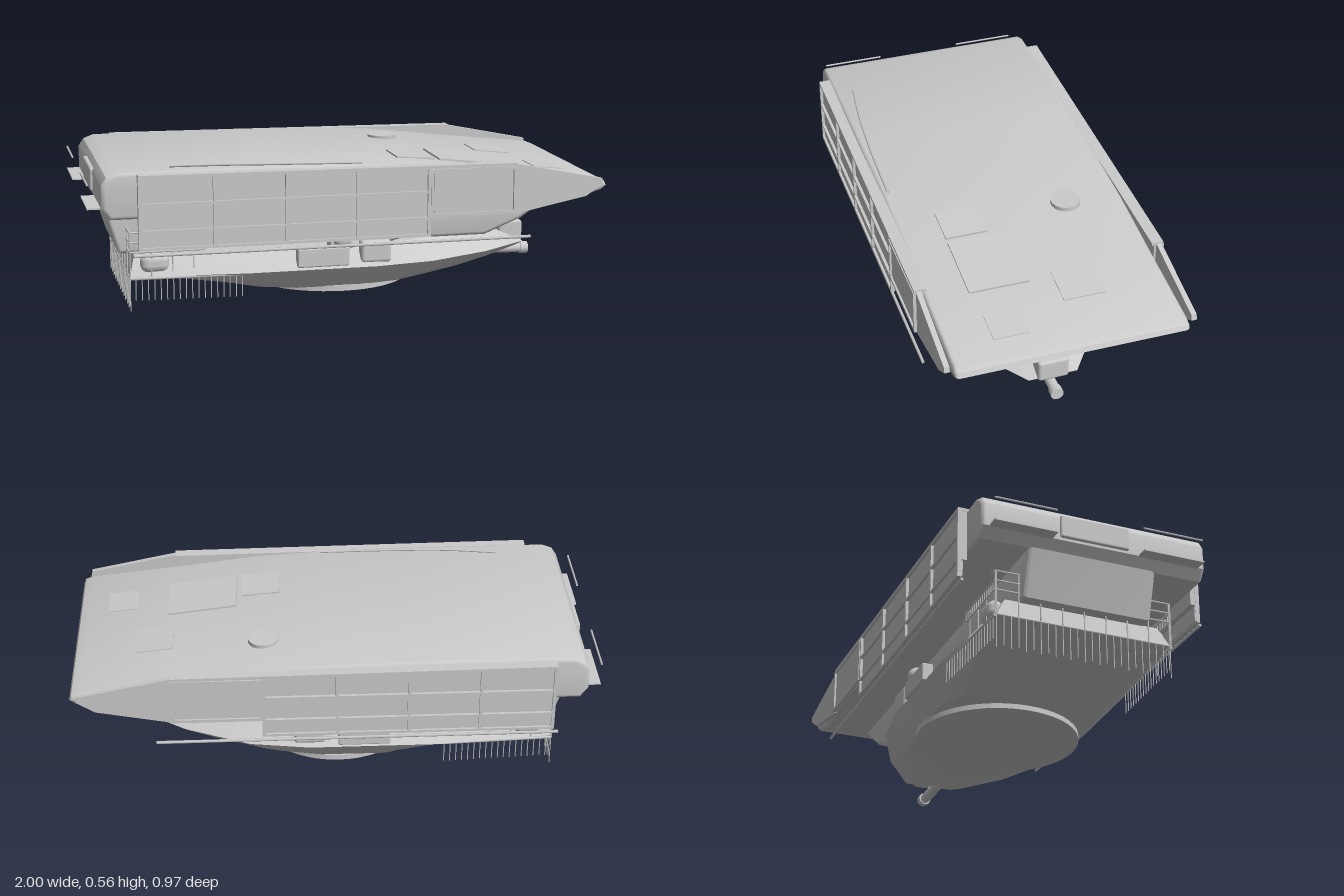
import * as THREE from 'three';
import { toCreasedNormals } from 'three/addons/utils/BufferGeometryUtils.js';
import { RoundedBoxGeometry } from 'three/addons/geometries/RoundedBoxGeometry.js';

const mat = new THREE.MeshStandardMaterial({ color: 0xcccccc, side: THREE.DoubleSide });

export function createModel() {
  const root = new THREE.Group();

  const add = (name, geo, x = 0, y = 0, z = 0) => {
    const m = new THREE.Mesh(geo, mat);
    m.name = name;
    m.position.set(x, y, z);
    root.add(m);
    return m;
  };
  // Box given by its limits
  const box = (name, x0, x1, y0, y1, z0, z1, r = 0) => add(name,
    r ? new RoundedBoxGeometry(x1 - x0, y1 - y0, z1 - z0, 2, r) : new THREE.BoxGeometry(x1 - x0, y1 - y0, z1 - z0),
    (x0 + x1) / 2, (y0 + y1) / 2, (z0 + z1) / 2);
  // Same box on the side given by s
  const sideBox = (s, name, x0, x1, y0, y1, z0, z1, r) =>
    box(name, x0, x1, y0, y1, ...(s > 0 ? [z0, z1] : [-z1, -z0]), r);
  // Round bar between two points
  const bar = (name, a, b, r = 0.005, sides = 6) => {
    const p = new THREE.Vector3(...a), q = new THREE.Vector3(...b);
    const m = add(name, new THREE.CylinderGeometry(r, r, p.distanceTo(q), sides));
    m.position.copy(p).add(q).multiplyScalar(0.5);
    m.quaternion.setFromUnitVectors(new THREE.Vector3(0, 1, 0), q.sub(p).normalize());
    return m;
  };
  // Side profile extruded across the width, centred on z
  const slab = (name, pts, width, bevel, z = 0) => {
    const shape = new THREE.Shape(pts.map(p => new THREE.Vector2(...p)));
    const g = new THREE.ExtrudeGeometry(shape, {
      depth: width - 2 * bevel, bevelEnabled: bevel > 0, bevelThickness: bevel, bevelSize: bevel,
      bevelOffset: -bevel, bevelSegments: 3, steps: 1 });
    g.translate(0, 0, -(width - 2 * bevel) / 2);
    return add(name, toCreasedNormals(g, 0.6), 0, 0, z);
  };
  // Body through rings of [x, z] half outlines, mirrored in z
  const loft = (name, rings) => {
    const loops = rings.map(({ y, half }) => [
      ...half.map(([x, z]) => [x, y, z]),
      ...half.slice().reverse().map(([x, z]) => [x, y, -z])]);
    const pos = [], n = loops[0].length;
    for (let r = 0; r < loops.length - 1; r++) for (let i = 0; i < n; i++) {
      const j = (i + 1) % n, a = loops[r][i], b = loops[r][j], c = loops[r + 1][j], d = loops[r + 1][i];
      pos.push(...a, ...d, ...c, ...a, ...c, ...b);
    }
    const lo = loops[0], hi = loops[loops.length - 1];
    for (let i = 1; i < n - 1; i++) {
      pos.push(...lo[0], ...lo[i], ...lo[i + 1], ...hi[0], ...hi[i + 1], ...hi[i]);
    }
    const g = new THREE.BufferGeometry();
    g.setAttribute('position', new THREE.Float32BufferAttribute(pos, 3));
    return add(name, toCreasedNormals(g, 0.5));
  };

  // Hull: wide deck over a narrow lower body with a sloped bow
  slab('upperHull', [[-0.95, 0.41], [-0.95, 0.5], [-0.93, 0.53], [-0.89, 0.545], [-0.3, 0.545], [0, 0.539],
    [0.27, 0.524], [0.62, 0.482], [0.96, 0.445], [0.99, 0.433], [0.998, 0.415], [0.975, 0.398], [0.87, 0.37], [-0.92, 0.37]]
    .reverse(), 0.88, 0.015);
  slab('lowerHull', [[-0.87, 0.2], [0.57, 0.2], [0.72, 0.26], [0.89, 0.38], [-0.925, 0.38]], 0.5, 0.015);
  bar('noseRail', [0.965, 0.405, -0.42], [0.965, 0.405, 0.42], 0.008);

  // Deck hatches, tilted to follow the deck
  const plate = (name, x, z, w, d, y, tilt) => {
    add(name, new THREE.BoxGeometry(w, 0.01, d), x, y, z).rotation.z = tilt;
  };
  plate('mainHatch', 0.505, 0.165, 0.27, 0.23, 0.498, -0.12);
  plate('rearHatch', 0.275, 0.2, 0.15, 0.16, 0.523, -0.08);
  plate('noseHatch', 0.82, 0.195, 0.12, 0.14, 0.458, -0.11);
  plate('sideHatch', 0.69, -0.12, 0.15, 0.16, 0.473, -0.11);
  add('roundVent', new THREE.CylinderGeometry(0.058, 0.058, 0.016, 24), 0.27, 0.528, -0.22);
  const whip = new THREE.CatmullRomCurve3([[-0.69, 0.55, 0.365], [-0.5, 0.552, 0.39], [-0.25, 0.548, 0.407],
    [0.03, 0.542, 0.415]].map(p => new THREE.Vector3(...p)));
  add('deckRod', new THREE.TubeGeometry(whip, 20, 0.005, 6));

  for (const s of [1, -1]) {
    // Side skirts with a tapered plate beside the nose
    sideBox(s, 'skirtPanel', -0.82, 0.62, 0.33, 0.527, 0.445, 0.47);
    sideBox(s, 'skirtLowerStrip', -0.82, 0.28, 0.265, 0.325, 0.46, 0.472);
    slab('skirtTopRail', [[-0.82, 0.528], [0.62, 0.515], [0.62, 0.527], [-0.82, 0.54]], 0.045, 0, s * 0.458);
    slab('skirtNosePlate', [[0.62, 0.33], [0.9, 0.385], [0.97, 0.43], [0.965, 0.452], [0.62, 0.522]],
      0.02, 0, s * 0.463);
    for (const y of [0.43, 0.33, 0.265]) sideBox(s, 'skirtRail', -0.82, 0.28, y - 0.005, y + 0.005, 0.465, 0.481);
    for (const x of [-0.815, -0.54, -0.27, 0, 0.275]) {
      sideBox(s, 'skirtPost', x - 0.006, x + 0.006, 0.26, 0.53, 0.465, 0.481);
    }
    sideBox(s, 'skirtDoor', 0.295, 0.605, 0.345, 0.505, 0.47, 0.477);
    for (const y of [0.34, 0.51]) sideBox(s, 'doorFrame', 0.28, 0.62, y - 0.006, y + 0.006, 0.47, 0.484);
    for (const x of [0.286, 0.612]) sideBox(s, 'doorFrame', x - 0.006, x + 0.006, 0.34, 0.51, 0.47, 0.484);
    bar('lowerSideRod', [-0.84, 0.24, s * 0.47], [0.68, 0.238, s * 0.47], 0.006);

    // Rear fittings
    sideBox(s, 'rearShelf', -1, -0.93, 0.408, 0.414, 0.17, 0.41);
    bar('rearBar', [-0.997, 0.5, s * 0.17], [-0.997, 0.5, s * 0.41], 0.004);
  }
  box('rearDoor', -0.96, -0.94, 0.42, 0.51, -0.14, 0.13, 0.008);

  // Turret slung under the hull
  loft('turret', [
    { y: 0.045, half: [[0.42, 0.08], [0.34, 0.2], [0.2, 0.28], [0.05, 0.31], [-0.2, 0.31], [-0.34, 0.26]] },
    { y: 0.075, half: [[0.63, 0.09], [0.46, 0.22], [0.26, 0.305], [0.07, 0.34], [-0.24, 0.335], [-0.46, 0.285]] },
    { y: 0.118, half: [[0.755, 0.095], [0.56, 0.23], [0.32, 0.335], [0.1, 0.37], [-0.35, 0.37], [-0.68, 0.33]] },
    { y: 0.13, half: [[0.78, 0.095], [0.58, 0.235], [0.33, 0.345], [0.1, 0.38], [-0.4, 0.38], [-0.84, 0.34]] },
    { y: 0.203, half: [[0.61, 0.07], [0.46, 0.19], [0.26, 0.28], [0.08, 0.31], [-0.4, 0.31], [-0.82, 0.3]] }]);
  add('turretRing', new THREE.CylinderGeometry(0.32, 0.32, 0.022, 48), -0.015, 0.036, 0);

  // Mantlet and short gun
  box('mantlet', 0.69, 0.79, 0.12, 0.208, -0.06, 0.06, 0.012);
  bar('gunBarrel', [0.55, 0.085, 0], [0.81, 0.08, 0], 0.02, 16);
  bar('gunMuzzle', [0.8, 0.08, 0], [0.83, 0.08, 0], 0.025, 16);
  bar('gunMount', [0.74, 0.08, 0], [0.74, 0.13, 0], 0.01, 10);

  // Turret side boxes, launchers and rear basket with hanging chains
  for (const s of [1, -1]) {
    sideBox(s, 'sideBox', -0.21, -0.01, 0.14, 0.213, 0.34, 0.385, 0.006);
    sideBox(s, 'sightBox', 0.04, 0.16, 0.14, 0.228, 0.31, 0.37, 0.015);
    sideBox(s, 'bracket', -0.08, 0.01, 0.2, 0.235, 0.3, 0.36, 0.006);
    add('sightDome', new THREE.SphereGeometry(0.036, 14, 10), -0.035, 0.235, s * 0.345);
    for (let i = 0; i < 3; i++) {
      bar('launcherTube', [0.2 - i * 0.03, 0.215, s * (0.26 + i * 0.025)],
        [0.27 - i * 0.03, 0.24, s * (0.27 + i * 0.025)], 0.013, 10);
    }
    sideBox(s, 'stowage', -0.8, -0.69, 0.14, 0.215, 0.29, 0.35, 0.03);
    for (const y of [0.225, 0.262, 0.3]) {
      bar('basketRail', [-0.84, y, s * 0.345], [y > 0.29 ? -0.8 : -0.56, y, s * 0.345], 0.004);
    }
    for (let i = 0; i <= 14; i++) {
      const x = -0.84 + i * 0.02;
      bar('basketPost', [x, i % 4 ? 0.22 : 0.13, s * 0.345], [x, i ? 0.262 : 0.3, s * 0.345], 0.0025);
    }
    bar('chainRail', [-0.84, 0.125, s * 0.345], [-0.42, 0.125, s * 0.365], 0.006);
    for (let i = 0; i < 18; i++) {
      const x = -0.82 + i * 0.0235, z = s * (0.345 + i * 0.0012);
      bar('sideChain', [x, 0.125, z], [x, 0.04, z], 0.002);
    }
  }
  for (const y of [0.128, 0.225, 0.262, 0.3]) {
    bar('rearBasketRail', [-0.84, y, -0.345], [-0.84, y, 0.345], 0.004);
  }
  for (let i = 0; i <= 24; i++) {
    const z = -0.34 + i * 0.68 / 24;
    bar('rearChain', [-0.84, 0.125, z], [-0.84, i % 2 ? 0.012 : 0, z], 0.002);
    if (i % 3 === 0) bar('rearBasketPost', [-0.84, 0.125, z], [-0.84, 0.3, z], 0.003);
  }
  return root;
}
